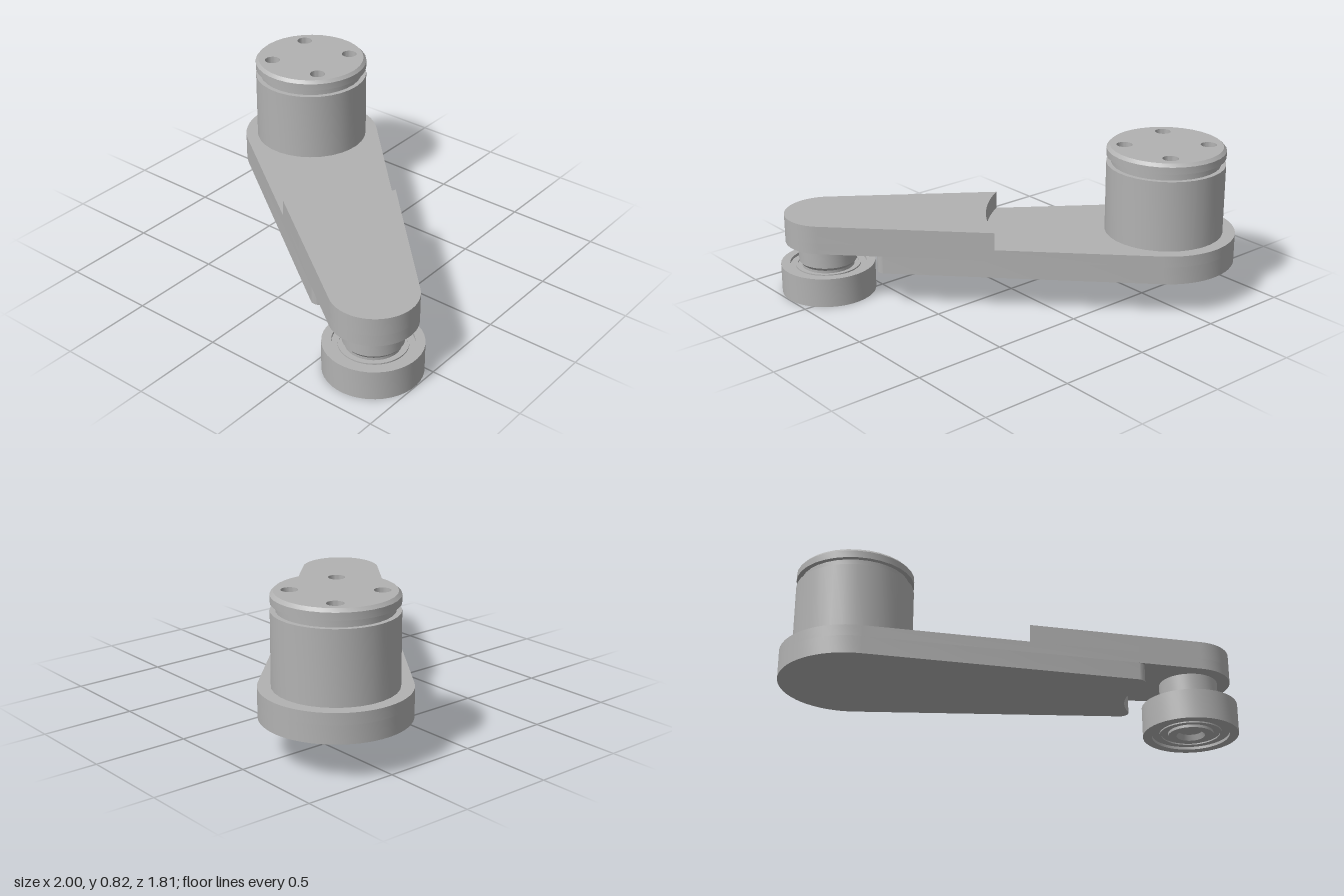
import * as THREE from 'three';
import { toCreasedNormals } from 'three/addons/utils/BufferGeometryUtils.js';

const PI = Math.PI;
// Arm outline, laid out along local +x from the drum axis to the roller axis
const L = 1.801, R1 = 0.38, R2 = 0.222;
const alpha = Math.acos((R1 - R2) / L);

export function createModel() {
  const steel = new THREE.MeshStandardMaterial({ color: 0xb2b2b2 });
  steel.name = 'grey steel';

  const model = new THREE.Group();
  model.name = 'crankArm';
  model.position.set(-0.62, 0, -0.525);
  model.rotation.y = -Math.atan2(1.175, 1.365);

  const add = (name, geometry, x = 0, y = 0) => {
    const mesh = new THREE.Mesh(toCreasedNormals(geometry, 0.5), steel);
    mesh.name = name;
    mesh.position.set(x, y, 0);
    model.add(mesh);
  };
  const slab = (shape, y0, y1) => new THREE.ExtrudeGeometry(shape,
    { depth: y1 - y0, bevelEnabled: false, curveSegments: 16 }).rotateX(-PI / 2).translate(0, y0, 0);
  const lathe = (points, segments) =>
    new THREE.LatheGeometry(points.map(([r, y]) => new THREE.Vector2(r, y)), segments);

  // Lower layer: tapered plate with a rounded-corner scoop clearing the roller
  const scoop = 0.345, fillet = 0.045;
  const along = Math.sqrt((scoop + fillet) ** 2 - (R2 - fillet) ** 2);
  const cx = (R2 - fillet) * Math.cos(alpha) - along * Math.sin(alpha);
  const cy = (R2 - fillet) * Math.sin(alpha) + along * Math.cos(alpha);
  const beta = Math.atan2(-cy, -cx);
  const lower = new THREE.Shape();
  lower.absarc(0, 0, R1, alpha, 2 * PI - alpha, false);
  lower.absarc(L + cx, -cy, fillet, -alpha, -beta, false);
  lower.absarc(L, 0, scoop, PI - beta, PI + beta, true);
  lower.absarc(L + cx, cy, fillet, beta, alpha, false);
  add('armLowerPlate', slab(lower, 0.195, 0.29));

  // Middle layer: full-length tapered plate
  const middle = new THREE.Shape();
  middle.absarc(0, 0, R1, alpha, 2 * PI - alpha, false);
  middle.absarc(L, 0, R2, -alpha, alpha, false);
  add('armMiddlePlate', slab(middle, 0.29, 0.35));

  // Upper layer: raised tip ending in a curved step around the drum
  const step = 0.947, gamma = alpha - Math.acos(R1 / step);
  const upper = new THREE.Shape();
  upper.absarc(L, 0, R2, -alpha, alpha, false);
  upper.absarc(0, 0, step, gamma, -gamma, true);
  add('armUpperPlate', slab(upper, 0.35, 0.445));

  // Drum with a ring groove and chamfered rim; its floor closes the holes
  add('drum', lathe([
    [0.314, 0.35], [0.314, 0.73], [0.288, 0.73], [0.288, 0.77], [0.314, 0.77],
    [0.314, 0.808], [0.298, 0.825], [0.28, 0.825], [0.28, 0.735], [0, 0.735],
  ], 32));

  // Drum cap with four holes
  const cap = new THREE.Shape();
  cap.absarc(0, 0, 0.28, 0, 2 * PI, false);
  for (let i = 0; i < 4; i++) {
    const hole = new THREE.Path();
    const a = i * PI / 2;
    hole.absarc(0.22 * Math.cos(a), 0.22 * Math.sin(a), 0.042, 0, 2 * PI, true);
    cap.holes.push(hole);
  }
  add('drumCap', slab(cap, 0.735, 0.825));

  // Roller pin under the tip
  add('rollerPin', lathe([
    [0, 0.14], [0.14, 0.14], [0.14, 0.16], [0.155, 0.178], [0.155, 0.29],
  ], 32), L);

  // Roller bearing: outer race, recessed shield, inner race and bore
  add('roller', lathe([
    [0, 0.03], [0.065, 0.03], [0.075, 0], [0.12, 0], [0.12, 0.015], [0.155, 0.015],
    [0.155, 0.008], [0.165, 0.008], [0.165, 0.015], [0.205, 0.015], [0.205, 0],
    [0.253, 0], [0.253, 0.16], [0.205, 0.16], [0.205, 0.145], [0.175, 0.145],
    [0.175, 0.152], [0.165, 0.152], [0.165, 0.145], [0, 0.145],
  ], 40), L);

  const root = new THREE.Group();
  root.name = 'crankAssembly';
  root.add(model);
  return root;
}
